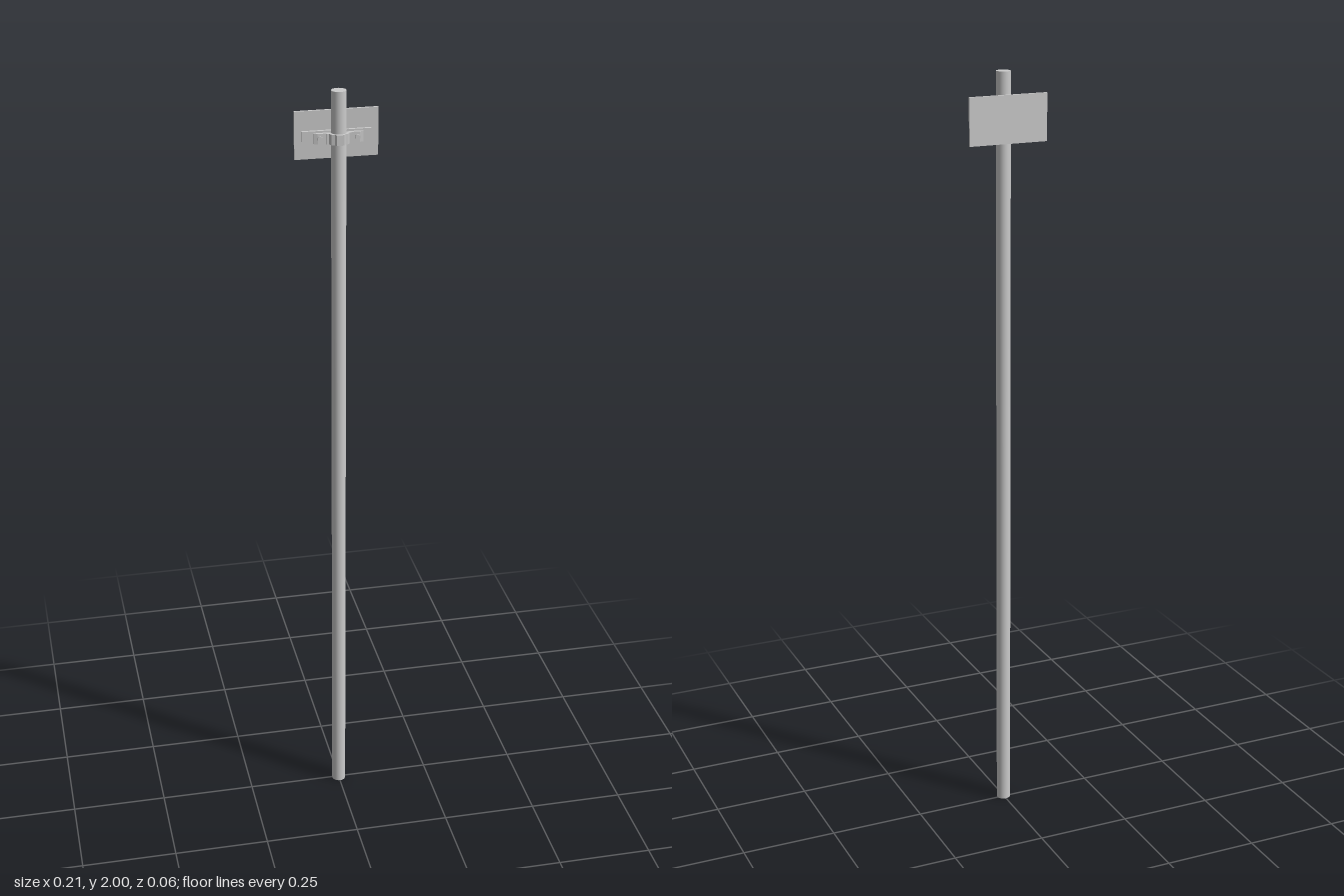
import * as THREE from 'three';

const POLE_R = 0.0185, POLE_Z = 0.003, CLAMP_Y = 1.883, CLAMP_H = 0.026;

export function createModel() {
  const group = new THREE.Group();
  const material = new THREE.MeshStandardMaterial({ color: 0xcccccc });

  const add = (name, geometry, x, y, z) => {
    const mesh = new THREE.Mesh(geometry, material);
    mesh.name = name;
    mesh.position.set(x, y, z);
    group.add(mesh);
    return mesh;
  };

  // Tall round post
  add('pole', new THREE.CylinderGeometry(POLE_R, POLE_R, 2, 32), 0, 1, POLE_Z);

  // Sign plate and the rail fixed to its inner face
  add('signPlate', new THREE.BoxGeometry(0.208, 0.12, 0.006), 0, 1.885, -0.027);
  add('mountingRail', new THREE.BoxGeometry(0.172, CLAMP_H, 0.007), 0, CLAMP_Y, -0.0205);

  // Clamp strap: half outline in x and z, mirrored, with the pole's arc cut out
  const half = [
    [0.061, 0.001], [0.061, 0.004], [0.052, 0.006], [0.031, 0.006], [0.030, 0.010],
    [0.025, 0.010], [0.021, 0.018], [0.013, 0.020], [0.009, 0.0275],
  ];
  const strap = new THREE.Shape();
  strap.moveTo(0.026, -0.002);
  strap.lineTo(0.052, -0.002);
  half.forEach(([x, z]) => strap.lineTo(x, z));
  [...half].reverse().forEach(([x, z]) => strap.lineTo(-x, z));
  strap.lineTo(-0.052, -0.002);
  strap.lineTo(-0.026, -0.002);
  strap.lineTo(-POLE_R, POLE_Z);
  strap.absarc(0, POLE_Z, POLE_R, Math.PI, 0, true);
  strap.closePath();
  const strapGeometry = new THREE.ExtrudeGeometry(strap, {
    depth: CLAMP_H, bevelEnabled: false, curveSegments: 16,
  });
  strapGeometry.rotateX(Math.PI / 2);
  add('clampStrap', strapGeometry, 0, CLAMP_Y + CLAMP_H / 2, 0);

  // Bolts joining the clamp ears to the rail
  for (const [side, s] of [['left', 1], ['right', -1]]) {
    const shank = new THREE.CylinderGeometry(0.0035, 0.0035, 0.024, 16).rotateX(Math.PI / 2);
    add(side + 'BoltShank', shank, s * 0.046, CLAMP_Y, -0.006);
    const head = new THREE.CylinderGeometry(0.007, 0.007, 0.004, 6).rotateX(Math.PI / 2);
    add(side + 'BoltHead', head, s * 0.046, CLAMP_Y, 0.0075);
  }

  return group;
}
